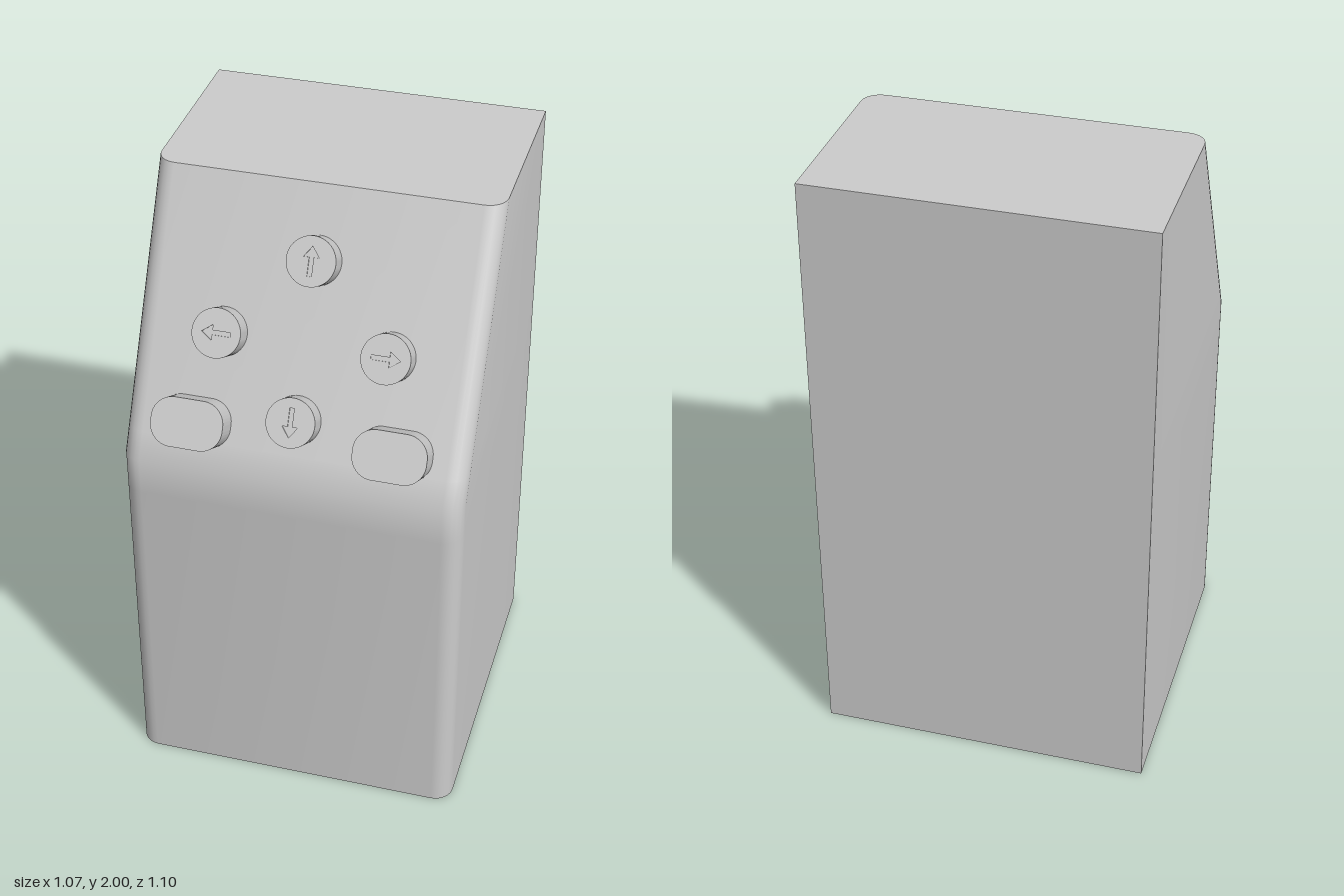
import * as THREE from 'three';
import { toCreasedNormals } from 'three/addons/utils/BufferGeometryUtils.js';

const material = new THREE.MeshStandardMaterial({ color: 0xcccccc });
const HALF_W = 0.535, BACK = -0.55, FRONT = 0.51, CORNER = 0.06;
const BEND_Y = 1.2, TOP_Y = 2, LEAN = 0.44;

// Plan outline: square at the back, rounded at the two front corners
function outline(front) {
  const pts = [[-HALF_W, BACK]];
  for (const side of [-1, 1]) {
    for (let i = 0; i <= 6; i++) {
      const a = (side < 0 ? Math.PI - (i / 6) * Math.PI / 2 : Math.PI / 2 - (i / 6) * Math.PI / 2);
      pts.push([side * (HALF_W - CORNER) + CORNER * Math.cos(a), front - CORNER + CORNER * Math.sin(a)]);
    }
  }
  pts.push([HALF_W, BACK]);
  return pts;
}

// Housing lofted through outlines whose front leans back above the bend
function housingGeometry() {
  const levels = [0, 1.08, BEND_Y, 1.28, TOP_Y];
  const position = [], index = [];
  const n = outline(FRONT).length;
  for (const y of levels) {
    const lean = LEAN * Math.max(0, (y - BEND_Y) / (TOP_Y - BEND_Y));
    for (const [x, z] of outline(FRONT - lean)) position.push(x, y, z);
  }
  for (let r = 0; r < levels.length - 1; r++) {
    for (let i = 0; i < n; i++) {
      const a = r * n + i, b = r * n + (i + 1) % n;
      index.push(a, b, b + n, a, b + n, a + n);
    }
  }
  // Bottom and top caps
  const bottom = position.length / 3, top = bottom + 1, last = (levels.length - 1) * n;
  position.push(0, 0, 0, 0, TOP_Y, -0.25);
  for (let i = 0; i < n; i++) {
    const j = (i + 1) % n;
    index.push(bottom, j, i, top, last + i, last + j);
  }
  const g = new THREE.BufferGeometry();
  g.setAttribute('position', new THREE.Float32BufferAttribute(position, 3));
  g.setIndex(index);
  return toCreasedNormals(g, 0.6);
}

function roundShape() {
  return new THREE.Shape().absarc(0, 0, 0.076, 0, Math.PI * 2, false);
}

// Rounded bar for the two wide keys
function wideShape() {
  const w = 0.113, h = 0.076, r = 0.068, s = new THREE.Shape();
  s.absarc(w - r, h - r, r, 0, Math.PI / 2);
  s.absarc(r - w, h - r, r, Math.PI / 2, Math.PI);
  s.absarc(r - w, r - h, r, Math.PI, Math.PI * 1.5);
  s.absarc(w - r, r - h, r, Math.PI * 1.5, Math.PI * 2);
  s.closePath();
  return s;
}

// Arrow outline turned to the given angle (0 points up)
function arrowPath(angle) {
  const pts = [[0, 0.045], [-0.024, 0.012], [-0.007, 0.012], [-0.007, -0.045],
    [0.007, -0.045], [0.007, 0.012], [0.024, 0.012]];
  return new THREE.Path(pts.map(([x, y]) =>
    new THREE.Vector2(x, y).rotateAround(new THREE.Vector2(), angle)));
}

function extrude(shape, from, to) {
  const g = new THREE.ExtrudeGeometry(shape, { depth: to - from, bevelEnabled: false, curveSegments: 24 });
  g.translate(0, 0, from);
  return toCreasedNormals(g, 0.6);
}

function addMesh(parent, name, geometry) {
  const mesh = new THREE.Mesh(geometry, material);
  mesh.name = name;
  parent.add(mesh);
}

export function createModel() {
  const model = new THREE.Group();
  model.name = 'controlBox';
  addMesh(model, 'housing', housingGeometry());

  // Keys sit on the slope: local y runs up it, local z points out of it
  const panel = new THREE.Group();
  panel.name = 'keyPanel';
  panel.position.set(0, BEND_Y, FRONT);
  panel.rotation.x = -Math.atan2(LEAN, TOP_Y - BEND_Y);
  model.add(panel);

  const arrowKeys = [
    ['upKey', 0, 0.684, 0],
    ['downKey', 0, 0.202, Math.PI],
    ['rightKey', -0.26, 0.433, Math.PI / 2],
    ['leftKey', 0.26, 0.433, -Math.PI / 2],
  ];
  for (const [name, x, y, angle] of arrowKeys) {
    const key = new THREE.Group();
    key.name = name;
    key.position.set(x, y, 0);
    addMesh(key, name + 'Body', extrude(roundShape(), -0.01, 0.071));
    // Thin cap with the arrow cut out of it
    const cap = roundShape();
    cap.holes.push(arrowPath(angle));
    addMesh(key, name + 'Cap', extrude(cap, 0.071, 0.075));
    panel.add(key);
  }

  // Wide keys either side of the lower arrow
  for (const side of [-1, 1]) {
    const key = new THREE.Group();
    key.name = side < 0 ? 'rightWideKey' : 'leftWideKey';
    key.position.set(side * 0.313, 0.151, 0);
    addMesh(key, key.name + 'Body', extrude(wideShape(), -0.01, 0.09));
    panel.add(key);
  }
  return model;
}
